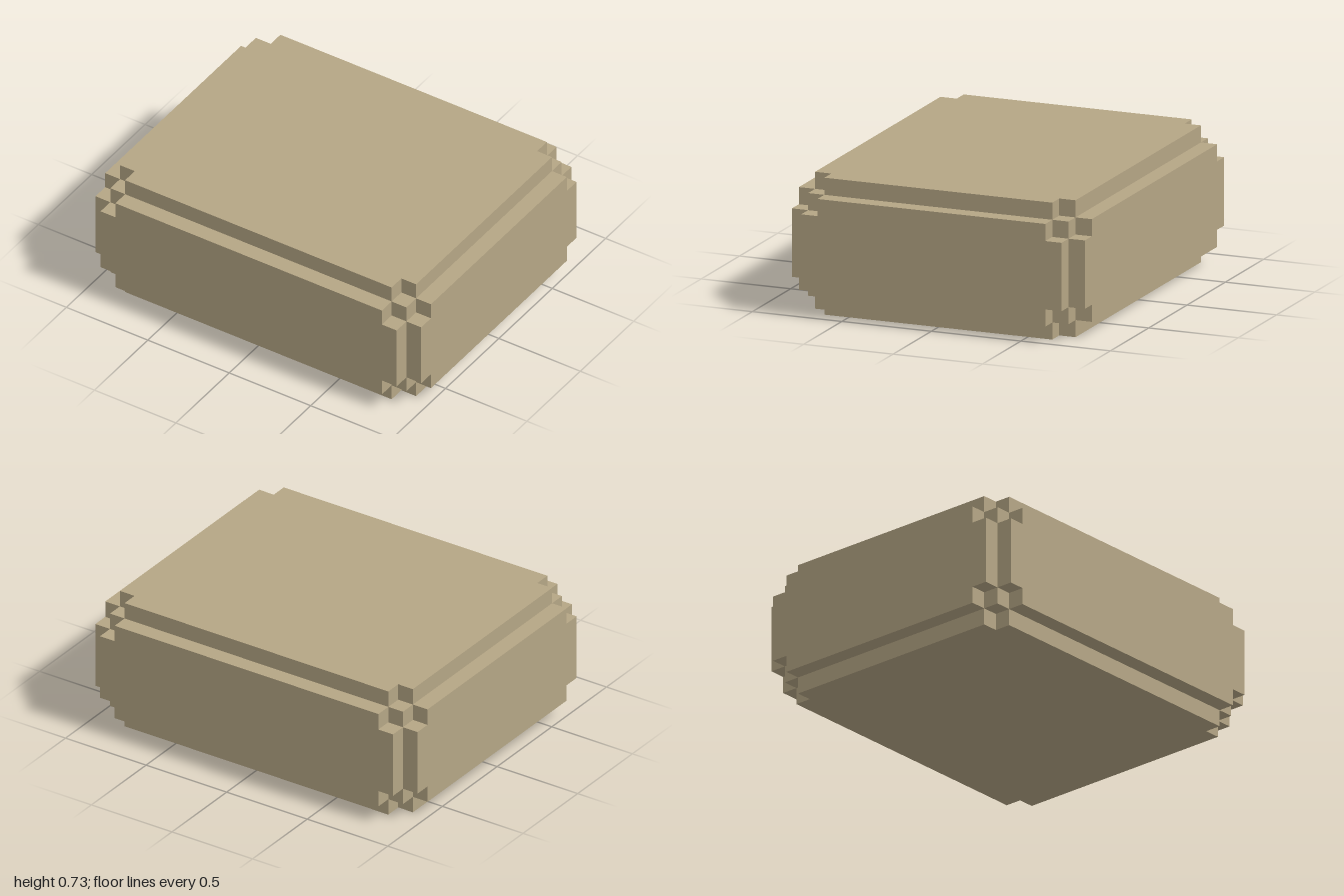
import * as THREE from 'three';

const U = 1 / 11; // one block step

// Rectangle plate with a one-step square notch at each corner, rising from z = 0
function notchedPlate(a, b) {
  const pts = [];
  for (const [sx, sy] of [[1, 1], [-1, 1], [-1, -1], [1, -1]]) {
    const corner = [[a, b - 1], [a - 1, b - 1], [a - 1, b]];
    if (sx * sy < 0) corner.reverse();
    for (const [x, y] of corner) pts.push(new THREE.Vector2(sx * x * U, sy * y * U));
  }
  return new THREE.ExtrudeGeometry(new THREE.Shape(pts), { depth: U, bevelEnabled: false });
}

export function createModel() {
  const group = new THREE.Group();
  const sand = new THREE.MeshStandardMaterial({ color: 0xb5a685 });
  sand.name = 'sand';

  const hx = 10, hy = 3, hz = 8; // half sizes of the core, in steps
  const add = (name, geometry) => {
    const mesh = new THREE.Mesh(geometry, sand);
    mesh.name = name;
    mesh.position.y = 4 * U;
    group.add(mesh);
    return mesh;
  };

  add('core', new THREE.BoxGeometry(2 * hx * U, 2 * hy * U, 2 * hz * U));

  // One raised plate on each side of the core
  const plates = [
    ['frontPlate', hx, hy, hz, 0, 0],
    ['backPlate', hx, hy, hz, 0, Math.PI],
    ['leftPlate', hz, hy, hx, 0, Math.PI / 2],
    ['rightPlate', hz, hy, hx, 0, -Math.PI / 2],
    ['topPlate', hx, hz, hy, -Math.PI / 2, 0],
    ['bottomPlate', hx, hz, hy, Math.PI / 2, 0],
  ];
  for (const [name, a, b, offset, rx, ry] of plates) {
    const mesh = add(name, notchedPlate(a, b));
    mesh.rotation.set(rx, ry, 0);
    mesh.translateZ(offset * U);
  }
  return group;
}
